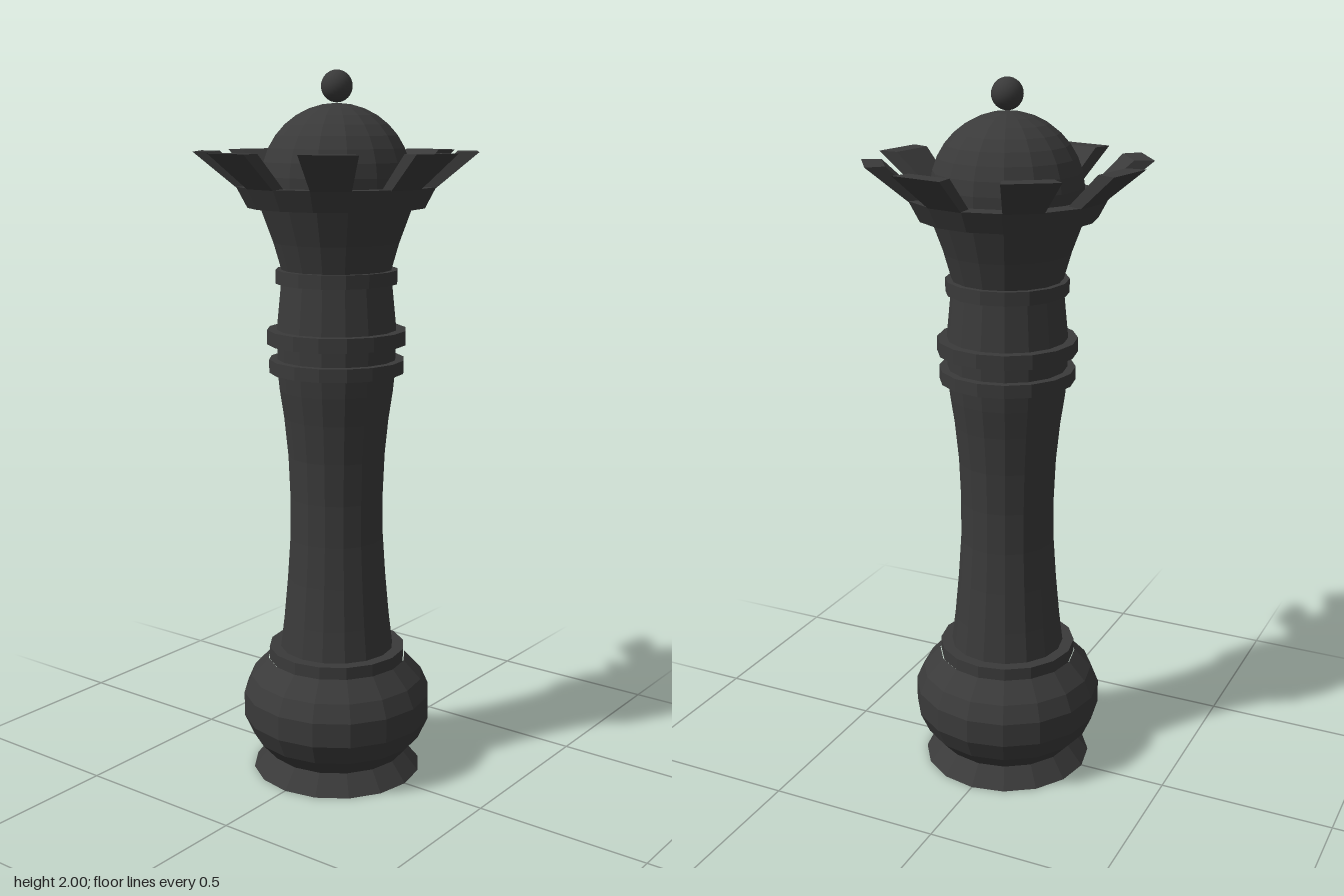
import * as THREE from 'three';
import { ConvexGeometry } from 'three/addons/geometries/ConvexGeometry.js';

const SIDES = 16;
const flat = new THREE.MeshStandardMaterial({ color: 0x3a3a3a, flatShading: true });
const smooth = new THREE.MeshStandardMaterial({ color: 0x3a3a3a });

export function createModel() {
  const group = new THREE.Group();

  const add = (name, geometry, material = flat, y = 0) => {
    const mesh = new THREE.Mesh(geometry, material);
    mesh.name = name;
    mesh.position.y = y;
    group.add(mesh);
    return mesh;
  };
  // Turned part from [radius, height] pairs, listed bottom to top
  const turn = (name, profile) =>
    add(name, new THREE.LatheGeometry(profile.map(([r, y]) => new THREE.Vector2(r, y)), SIDES));
  // Flat collar with square edges
  const collar = (name, r, y0, y1) => turn(name, [[0, y0], [r, y0], [r, y1], [0, y1]]);

  // Foot and rounded base
  turn('foot', [[0, 0], [0.245, 0], [0.2, 0.055], [0, 0.055]]);
  turn('baseBulge', [[0.2, 0.055], [0.245, 0.105], [0.272, 0.165], [0.272, 0.235], [0.25, 0.285], [0.2, 0.338]]);
  collar('baseCollar', 0.197, 0.335, 0.372);

  // Waisted stem
  turn('stem', [
    [0.164, 0.37], [0.153, 0.46], [0.142, 0.58], [0.134, 0.7], [0.133, 0.82],
    [0.138, 0.94], [0.149, 1.05], [0.161, 1.13], [0.166, 1.18], [0.168, 1.3],
    [0.165, 1.33], [0.154, 1.44],
  ]);
  collar('lowerCollar', 0.19, 1.18, 1.217);
  collar('middleCollar', 0.195, 1.26, 1.3);
  collar('upperCollar', 0.17, 1.428, 1.466);

  // Flared neck and crown rim
  turn('neck', [[0.152, 1.46], [0.175, 1.54], [0.21, 1.635]]);
  turn('crownRim', [[0.2, 1.635], [0.245, 1.635], [0.275, 1.692], [0.22, 1.692], [0.205, 1.66], [0, 1.66]]);

  // Eight splayed crown points, one on every second side of the rim
  const section = [[0.23, 1.69], [0.275, 1.69], [0.39, 1.785], [0.335, 1.785]];
  const corners = [0, (Math.PI * 2) / SIDES].flatMap((a) =>
    section.map(([r, y]) => new THREE.Vector3(r * Math.cos(a), y, r * Math.sin(a))));
  const pointGeometry = new ConvexGeometry(corners);
  for (let i = 0; i < SIDES / 2; i++) {
    add('crownPoint', pointGeometry).rotation.y = (i * Math.PI * 4) / SIDES;
  }

  // Dome and finial
  add('dome', new THREE.SphereGeometry(0.207, SIDES, 10, 0, Math.PI * 2, 0, Math.PI * 0.6), flat, 1.706);
  add('finialBall', new THREE.SphereGeometry(0.043, 24, 16), smooth, 1.957);

  return group;
}
